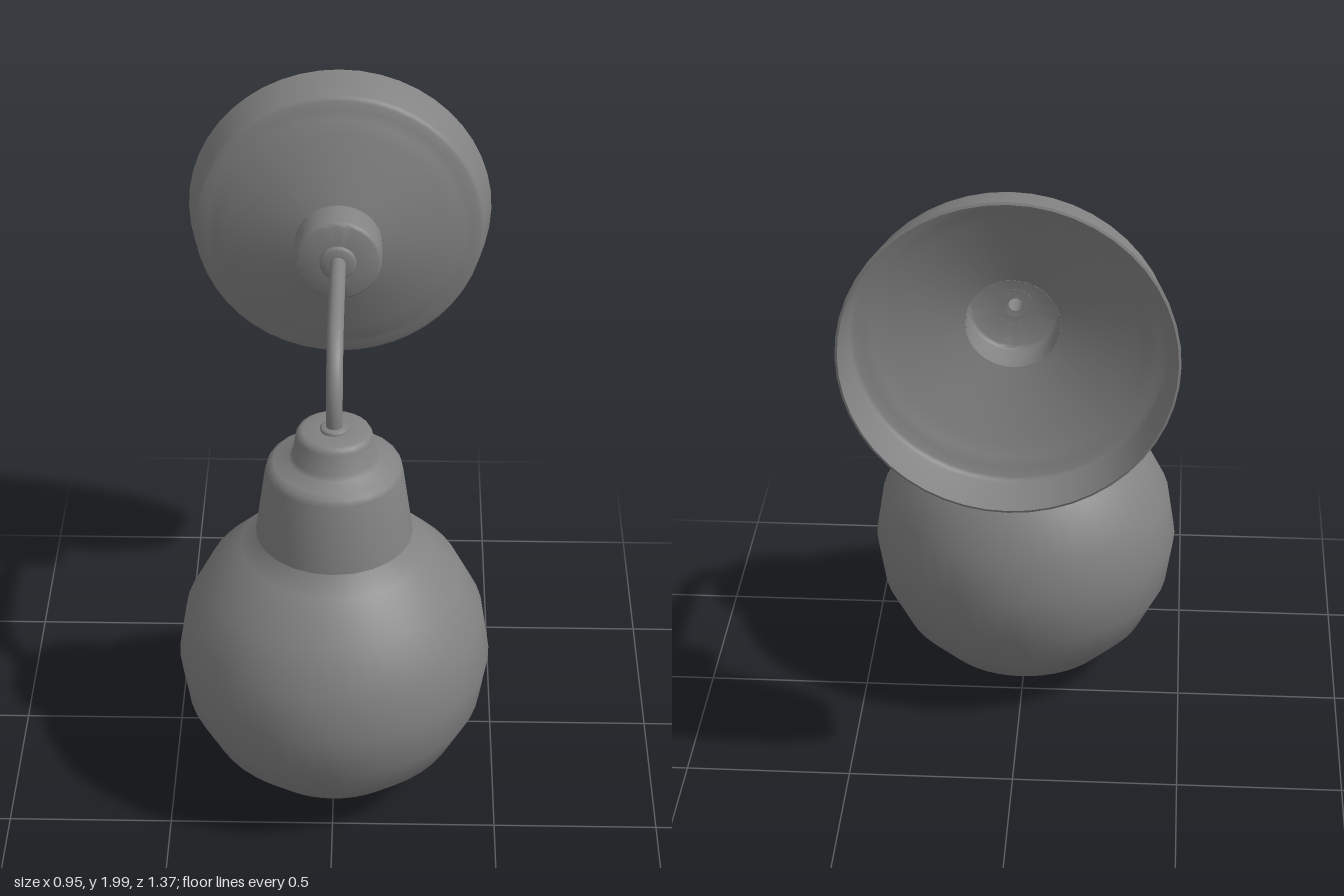
import * as THREE from 'three';
import { toCreasedNormals } from 'three/addons/utils/BufferGeometryUtils.js';

const ARM_Y = 1.525; // height of the wall plate axis
const LAMP_Z = 0.21; // distance of the hanging lamp axis

const material = new THREE.MeshStandardMaterial({ color: 0x828282, side: THREE.DoubleSide });

// Turned part: profile is a list of [radius, height along the axis]
function turned(name, profile, segments) {
  const points = profile.map(([r, h]) => new THREE.Vector2(r, h));
  const geometry = toCreasedNormals(new THREE.LatheGeometry(points, segments), 0.9);
  const mesh = new THREE.Mesh(geometry, material);
  mesh.name = name;
  return mesh;
}

export function createModel() {
  const model = new THREE.Group();
  model.name = 'wallLamp';

  // Hanging lamp, turned around a vertical axis
  const lamp = new THREE.Group();
  lamp.name = 'lamp';
  lamp.position.z = LAMP_Z;

  // Globe in 18 degree steps, left open at the top inside the holder
  const globeProfile = [];
  for (let i = 0; i < 9; i++) {
    const a = (i * Math.PI) / 10;
    globeProfile.push([0.475 * Math.sin(a), 0.482 - 0.475 * Math.cos(a)]);
  }
  globeProfile.push([0.205, 0.917], [0.195, 0.96]);
  lamp.add(turned('globe', globeProfile, 48));

  // Stepped holder with a turned-in lower lip
  lamp.add(turned('holder', [
    [0.2, 0.95], [0.215, 0.922], [0.235, 0.922], [0.204, 1.14], [0.198, 1.157],
    [0.18, 1.17], [0.135, 1.183], [0.124, 1.195], [0.114, 1.26], [0.107, 1.273],
    [0.095, 1.279], [0.04, 1.279],
  ], 24));
  lamp.add(turned('holderCollar', [
    [0.042, 1.27], [0.042, 1.286], [0.036, 1.291], [0.02, 1.291],
  ], 20));
  model.add(lamp);

  // Wall plate, turned around the z axis and hollow at the back
  const plate = new THREE.Group();
  plate.name = 'wallPlate';
  plate.position.y = ARM_Y;
  plate.rotation.x = Math.PI / 2;
  plate.add(turned('plateShell', [
    [0.468, -0.685], [0.475, -0.682], [0.473, -0.667], [0.451, -0.56], [0.447, -0.548],
    [0.438, -0.541], [0.412, -0.536], [0.385, -0.523], [0.345, -0.506], [0.135, -0.445],
  ], 48));
  plate.add(turned('plateHub', [
    [0.135, -0.446], [0.134, -0.348], [0.131, -0.339], [0.123, -0.334], [0.03, -0.334],
  ], 32));
  plate.add(turned('plateCollar', [
    [0.056, -0.335], [0.056, -0.324], [0.05, -0.319], [0.02, -0.319],
  ], 20));
  model.add(plate);

  // Bent arm from the hub to the top of the holder
  const bend = 0.21, k = 0.552 * bend, bendZ = LAMP_Z - bend;
  const v = (y, z) => new THREE.Vector3(0, y, z);
  const path = new THREE.CurvePath();
  path.add(new THREE.LineCurve3(v(ARM_Y, -0.32), v(ARM_Y, bendZ)));
  path.add(new THREE.CubicBezierCurve3(
    v(ARM_Y, bendZ), v(ARM_Y, bendZ + k),
    v(ARM_Y - bend + k, LAMP_Z), v(ARM_Y - bend, LAMP_Z)));
  path.add(new THREE.LineCurve3(v(ARM_Y - bend, LAMP_Z), v(1.27, LAMP_Z)));
  const arm = new THREE.Mesh(new THREE.TubeGeometry(path, 48, 0.025, 14), material);
  arm.name = 'arm';
  model.add(arm);

  return model;
}
